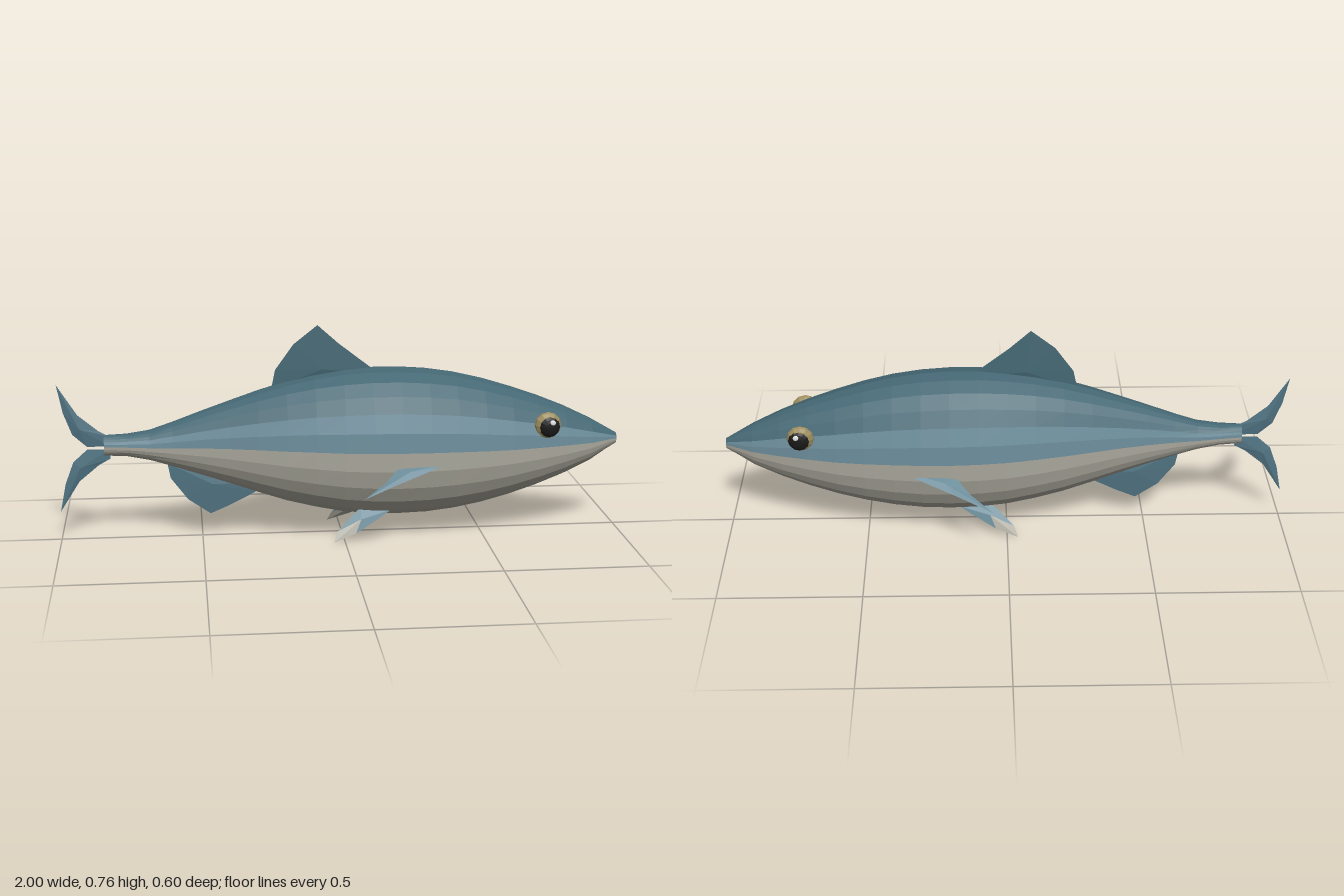
import * as THREE from 'three';

const paint = (name, color) => {
  const m = new THREE.MeshStandardMaterial({ color });
  m.name = name;
  return m;
};

export function createModel() {
  const fish = new THREE.Group();
  fish.name = 'fish';
  const backBlue = paint('back blue', 0x456874);
  const flankBlue = paint('flank blue', 0x6a8b99);
  const finBlue = paint('fin blue', 0x507382);
  const bellyCream = paint('belly cream', 0xb0aea2);
  const irisGold = paint('iris gold', 0x9c8c5c);
  const pupilBlack = paint('pupil black', 0x1a1a1a);
  const glintWhite = paint('glint white', 0xe6e6e6);

  const add = (name, geometry, material) => {
    const mesh = new THREE.Mesh(geometry, material);
    mesh.name = name;
    fish.add(mesh);
    return mesh;
  };
  // Faceted geometry from a flat list of triangle corners
  const facets = (corners) => {
    const g = new THREE.BufferGeometry().setFromPoints(corners);
    g.computeVertexNormals();
    return g;
  };

  // Body stations: x, top y, bottom y, half width
  const stations = [
    [-0.84, 0.378, 0.305, 0.03], [-0.76, 0.381, 0.301, 0.04], [-0.68, 0.393, 0.285, 0.049],
    [-0.6, 0.42, 0.26, 0.06], [-0.5, 0.457, 0.227, 0.08], [-0.4, 0.492, 0.193, 0.102],
    [-0.3, 0.526, 0.158, 0.127], [-0.2, 0.556, 0.125, 0.15], [-0.1, 0.579, 0.1, 0.17],
    [0, 0.594, 0.08, 0.185], [0.1, 0.602, 0.07, 0.194], [0.2, 0.602, 0.067, 0.196],
    [0.3, 0.595, 0.07, 0.191], [0.4, 0.58, 0.081, 0.181], [0.5, 0.556, 0.1, 0.168],
    [0.6, 0.525, 0.126, 0.15], [0.7, 0.49, 0.158, 0.125], [0.8, 0.449, 0.196, 0.097],
    [0.9, 0.4, 0.242, 0.063], [0.96, 0.365, 0.281, 0.034], [1, 0.342, 0.304, 0.013],
  ];
  const SIDES = 24;
  const skin = ([x, top, bottom, w], i) => {
    const a = (i / SIDES) * Math.PI * 2;
    return new THREE.Vector3(x, (top + bottom) / 2 + Math.sin(a) * (top - bottom) / 2, Math.cos(a) * w);
  };
  // Strip of skin between two steps around the body
  const band = (name, from, to, material) => {
    const c = [];
    for (let s = 0; s < stations.length - 1; s++) {
      for (let i = from; i < to; i++) {
        const p = skin(stations[s], i), q = skin(stations[s + 1], i);
        const r = skin(stations[s + 1], i + 1), t = skin(stations[s], i + 1);
        c.push(p, q, r, p, r, t);
      }
    }
    add(name, facets(c), material);
  };
  band('leftFlank', 0, 2, flankBlue);
  band('back', 2, 10, backBlue);
  band('rightFlank', 10, 12, flankBlue);
  band('belly', 12, 24, bellyCream);

  // Closed ends of the body
  const cap = (name, station, front) => {
    const c = [], mid = new THREE.Vector3(station[0], (station[1] + station[2]) / 2, 0);
    for (let i = 0; i < SIDES; i++) {
      const p = skin(station, i), q = skin(station, i + 1);
      c.push(mid, front ? q : p, front ? p : q);
    }
    add(name, facets(c), flankBlue);
  };
  cap('noseTip', stations[stations.length - 1], true);
  cap('tailRoot', stations[0], false);

  // Fin: sharp outline rising to a ridge point on both faces;
  // edges listed in tipEdges take the second material
  const fin = (name, outline, centre, half, material, tipEdges = [], tipMaterial) => {
    const pts = outline.map((p) => new THREE.Vector3(...p));
    const c = new THREE.Vector3(...centre), n = new THREE.Vector3();
    pts.forEach((p, i) => {
      const q = pts[(i + 1) % pts.length];
      n.add(p.clone().sub(c).cross(q.clone().sub(c)));
    });
    n.setLength(half);
    const up = c.clone().add(n), down = c.clone().sub(n), main = [], tip = [];
    pts.forEach((p, i) => {
      const q = pts[(i + 1) % pts.length];
      (tipEdges.includes(i) ? tip : main).push(up, p, q, down, q, p);
    });
    add(name, facets(main), material);
    if (tip.length) add(name + 'Tip', facets(tip), tipMaterial);
  };
  const flat = (list) => list.map(([x, y]) => [x, y, 0]);

  fin('dorsalFin', flat([[0.12, 0.58], [0.1, 0.605], [-0.01, 0.69], [-0.085, 0.757], [-0.17, 0.69],
    [-0.235, 0.6], [-0.25, 0.53]]), [-0.07, 0.6, 0], 0.008, backBlue);
  fin('analFin', flat([[-0.62, 0.27], [-0.61, 0.215], [-0.55, 0.135], [-0.47, 0.08], [-0.4, 0.11],
    [-0.31, 0.155], [-0.3, 0.19]]), [-0.46, 0.19, 0], 0.008, finBlue);

  // Forked tail, mirrored about the body axis
  for (const s of [1, -1]) {
    const lobe = [[-0.82, 0.005], [-0.82, 0.04], [-0.86, 0.062], [-0.93, 0.12], [-1, 0.23],
      [-0.98, 0.13], [-0.95, 0.05], [-0.9, 0.005]];
    fin(s > 0 ? 'upperTailLobe' : 'lowerTailLobe',
      flat(lobe.map(([x, y]) => [x, 0.332 + s * y])), [-0.925, 0.332 + s * 0.07, 0], 0.007, finBlue);
  }

  // Paired fins and eyes
  const ball = (name, x, y, z, r, depth, material) => {
    const g = new THREE.SphereGeometry(1, 12, 8).rotateX(Math.PI / 2).scale(r, r, depth).toNonIndexed();
    g.computeVertexNormals();
    add(name, g, material).position.set(x, y, z);
  };
  for (const s of [1, -1]) {
    const side = s > 0 ? 'front' : 'rear';
    const flip = (list) => list.map(([x, y, z]) => [x, y, z * s]);
    fin(side + 'PectoralFin', flip([[0.36, 0.291, 0.165], [0.32, 0.277, 0.188], [0.18, 0.24, 0.244],
      [0.05, 0.204, 0.301], [0.13, 0.243, 0.241], [0.18, 0.278, 0.185], [0.22, 0.291, 0.165]]),
    [0.22, 0.265, 0.205 * s], 0.009, flankBlue);
    fin(side + 'PelvicFin', flip([[0.17, 0.1, 0.085], [0.13, 0.076, 0.098], [0.04, 0.028, 0.125],
      [-0.04, 0, 0.14], [-0.025, 0.036, 0.12], [0.03, 0.085, 0.093], [0.06, 0.11, 0.08]]),
    [0.06, 0.07, 0.101 * s], 0.008, flankBlue, [2, 3], bellyCream);

    ball(side + 'Iris', 0.722, 0.404, 0.115 * s, 0.048, 0.021, irisGold);
    ball(side + 'Pupil', 0.726, 0.4, 0.125 * s, 0.038, 0.016, pupilBlack);
    ball(side + 'Glint', 0.735, 0.416, 0.137 * s, 0.011, 0.004, glintWhite);
  }
  return fish;
}
